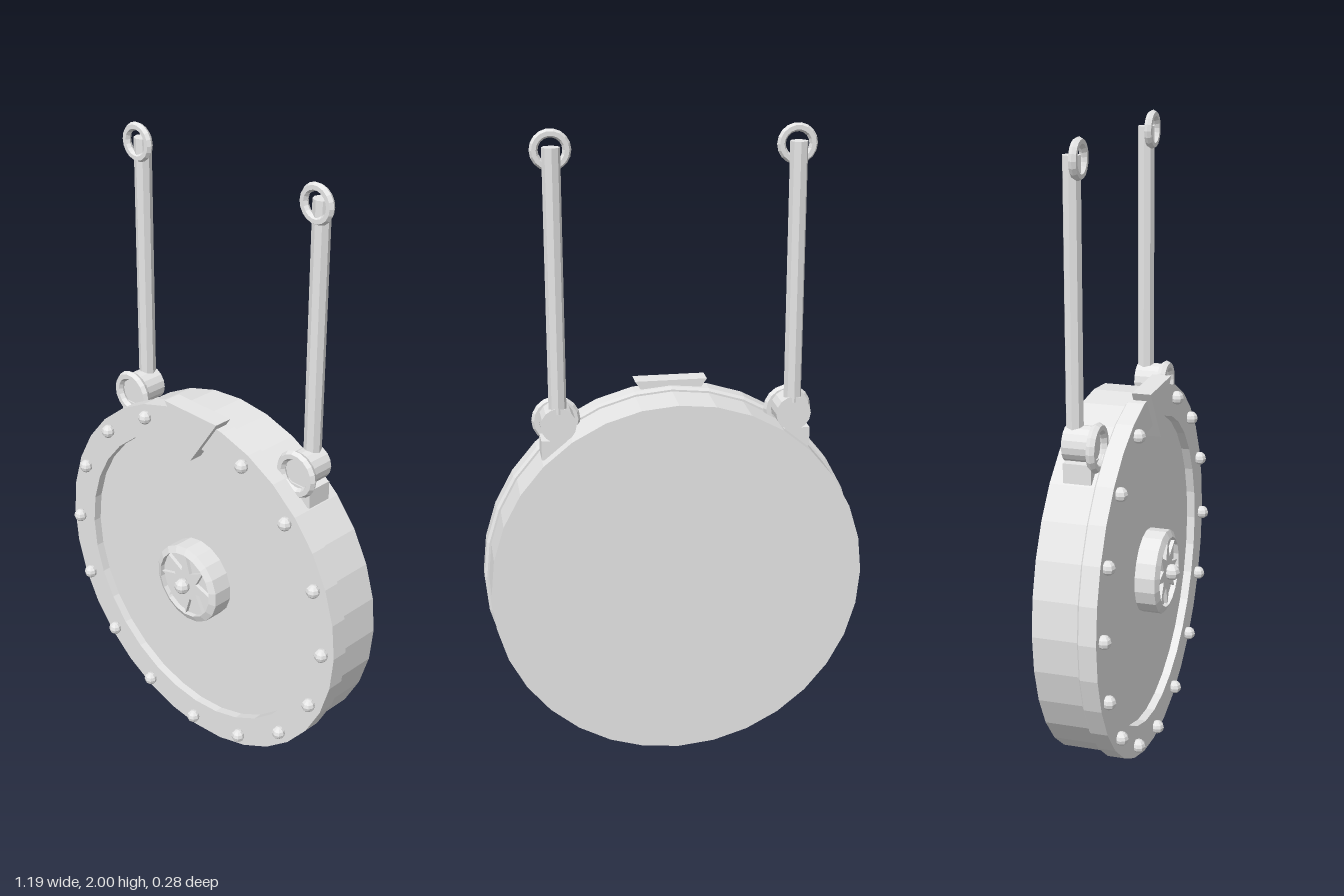
import * as THREE from 'three';

export function createModel() {
  const model = new THREE.Group();
  const metal = new THREE.MeshStandardMaterial({ color: 0xe6e6e6, flatShading: true });
  metal.name = 'pale grey metal';

  const add = (name, geometry, x, y, z) => {
    const mesh = new THREE.Mesh(geometry, metal);
    mesh.name = name;
    mesh.position.set(x, y, z);
    model.add(mesh);
    return mesh;
  };
  // Lathe profile of [radius, z] points, turned to run along z
  const turned = (points, sides) =>
    new THREE.LatheGeometry(points.map(([r, z]) => new THREE.Vector2(r, z)), sides).rotateX(Math.PI / 2);
  const plate = (points, depth) =>
    new THREE.ExtrudeGeometry(new THREE.Shape(points.map(([x, y]) => new THREE.Vector2(x, y))),
      { depth, bevelEnabled: false });

  const cy = 0.6;

  // Drum with a flat back, and the raised rim around the recessed face
  add('drumBody', turned([[0, -0.142], [0.582, -0.142], [0.582, -0.003], [0, -0.003]], 32), 0, cy, 0);
  add('frontRim', turned([[0, -0.003], [0.588, -0.003], [0.596, 0.003], [0.596, 0.057],
    [0.495, 0.057], [0.495, 0.03], [0, 0.03]], 32), 0, cy, 0);

  // Rim studs, leaving the top free for the pointer
  const stud = new THREE.SphereGeometry(0.022, 8, 6);
  for (let i = 1; i < 16; i++) {
    const a = Math.PI / 2 + (i * Math.PI) / 8;
    add('rimStud', stud, 0.555 * Math.cos(a), cy + 0.555 * Math.sin(a), 0.068);
  }

  // Triangular pointer
  add('topPointer', plate([[-0.112, 1.213], [0, 1.047], [0.112, 1.213]], 0.06), 0, 0, 0.015);

  // Hub with a bevelled edge, dished front, star and centre stud
  add('hub', turned([[0.134, 0.025], [0.134, 0.094], [0.112, 0.105],
    [0.112, 0.088], [0, 0.088]], 18), 0, cy, 0);
  const star = [];
  for (let i = 0; i < 16; i++) {
    const r = i % 2 ? 0.05 : 0.11;
    const a = (i * Math.PI) / 8;
    star.push([r * Math.cos(a), r * Math.sin(a)]);
  }
  add('hubStar', plate(star, 0.014), 0, cy, 0.086);
  add('hubStud', new THREE.SphereGeometry(0.026, 8, 6), 0, cy, 0.114);

  // Pair of hangers
  for (const side of [-1, 1]) {
    const x = side * 0.36;
    add('hangerBlock', new THREE.BoxGeometry(0.105, 0.06, 0.085), x, 1.047, -0.058);
    add('hangerKnuckle', new THREE.CylinderGeometry(0.054, 0.054, 0.085, 16).rotateX(Math.PI / 2), x, 1.125, -0.062);
    add('lowerRing', new THREE.TorusGeometry(0.06, 0.015, 6, 18), x, 1.115, -0.013);
    add('hangerRod', new THREE.CylinderGeometry(0.027, 0.027, 0.79, 8), x, 1.555, -0.08);
    add('upperRing', new THREE.TorusGeometry(0.048, 0.013, 6, 18), x, 1.939, -0.06);
  }
  return model;
}
